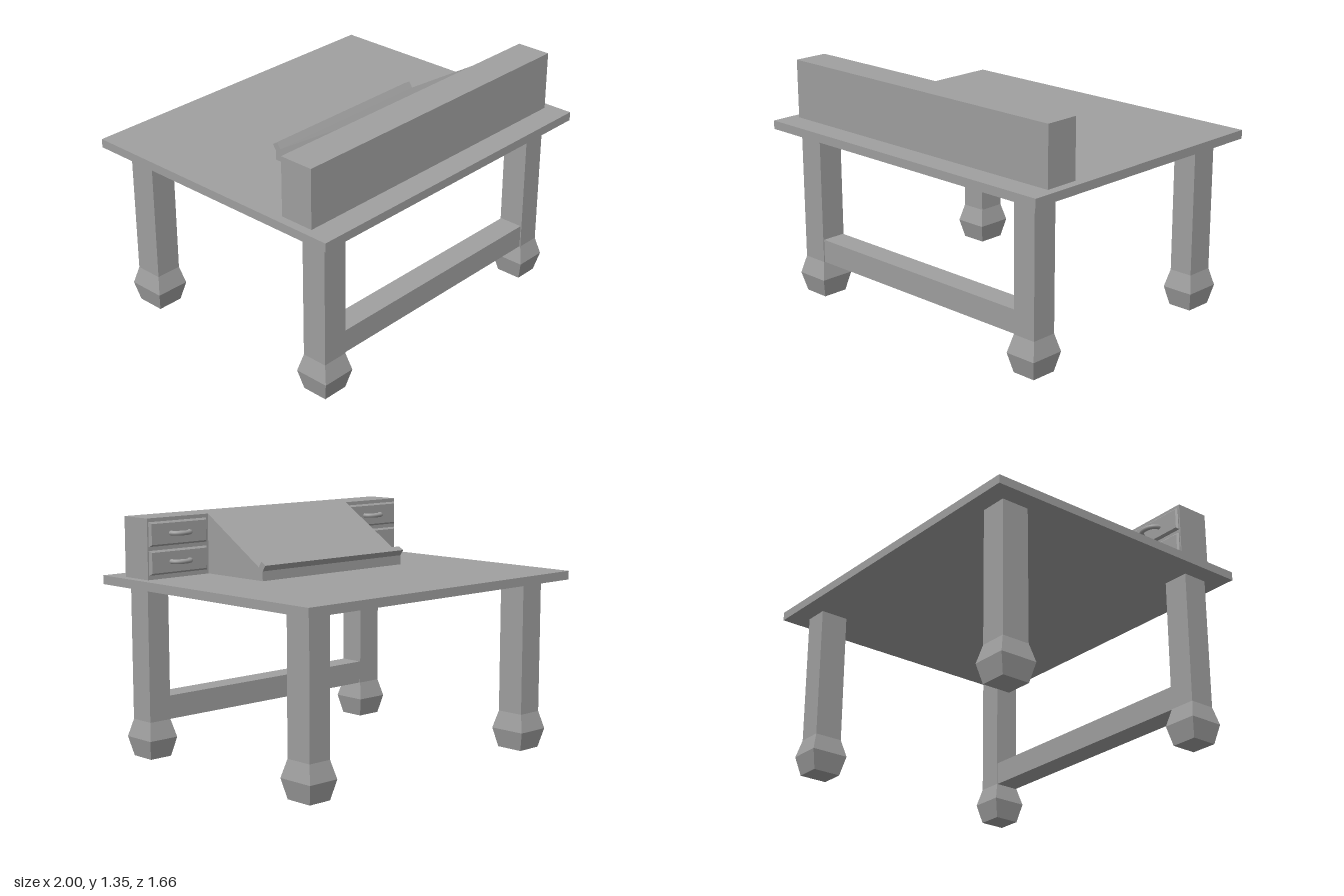
import * as THREE from 'three';

const grey = new THREE.MeshStandardMaterial({ color: 0xa0a0a0 });
grey.name = 'plain grey';

// Stacks rectangular sections [height, width, depth] into a closed, flat-faced solid.
function loft(sections) {
  const pos = [];
  const idx = [];
  for (const [y, w, d] of sections) {
    pos.push(-w / 2, y, d / 2, w / 2, y, d / 2, w / 2, y, -d / 2, -w / 2, y, -d / 2);
  }
  for (let s = 0; s < sections.length - 1; s++) {
    for (let i = 0; i < 4; i++) {
      const a = s * 4 + i, b = s * 4 + (i + 1) % 4;
      idx.push(a, b, b + 4, a, b + 4, a + 4);
    }
  }
  const t = (sections.length - 1) * 4;
  idx.push(0, 2, 1, 0, 3, 2, t, t + 1, t + 2, t, t + 2, t + 3);
  const geo = new THREE.BufferGeometry();
  geo.setAttribute('position', new THREE.Float32BufferAttribute(pos, 3));
  geo.setIndex(idx);
  const flat = geo.toNonIndexed();
  flat.computeVertexNormals();
  return flat;
}

// Extrudes a [z, y] profile along x from x0 to x1.
function prism(points, x0, x1) {
  const shape = new THREE.Shape(points.map(([z, y]) => new THREE.Vector2(-z, y)));
  const geo = new THREE.ExtrudeGeometry(shape, { depth: x1 - x0, bevelEnabled: false });
  geo.rotateY(Math.PI / 2);
  geo.translate(x0, 0, 0);
  return geo;
}

export function createModel() {
  const model = new THREE.Group();
  model.name = 'writingDesk';

  const add = (name, geo, x = 0, y = 0, z = 0) => {
    const mesh = new THREE.Mesh(geo, grey);
    mesh.name = name;
    mesh.position.set(x, y, z);
    model.add(mesh);
    return mesh;
  };
  const box = (name, x0, x1, y0, y1, z0, z1) =>
    add(name, new THREE.BoxGeometry(x1 - x0, y1 - y0, z1 - z0),
      (x0 + x1) / 2, (y0 + y1) / 2, (z0 + z1) / 2);

  // Table top and the low cabinet standing on it
  box('tableTop', -1, 1, 0.968, 1.017, -0.83, 0.83);
  box('cabinet', -0.95, 0.95, 1.017, 1.35, 0.49, 0.69);

  // Square legs with flared feet
  for (const [x, w] of [[-0.815, 0.153], [0.823, 0.14]]) {
    for (const [z, d] of [[0.646, 0.15], [-0.638, 0.163]]) {
      add('leg', loft([
        [0, w, d], [0.11, w + 0.048, d + 0.055], [0.21, w, d], [0.968, w, d],
      ]), x, 0, z);
    }
  }

  // Stretcher between the front legs
  box('stretcher', -0.745, 0.76, 0.21, 0.343, 0.575, 0.715);

  // Sloping writing surface and the ledge along its lower edge
  add('writingSlope', prism(
    [[0.49, 1.017], [0.035, 1.017], [0.035, 1.07], [0.49, 1.35]], -0.533, 0.53));
  add('slopeLedge', prism(
    [[0.067, 1.089], [0.035, 1.07], [0.013, 1.102], [0.045, 1.121]], -0.533, 0.53));

  // Bevelled drawers with arched pulls, two on each side of the slope
  const drawerGeo = loft([[0, 0.394, 0.133], [0.006, 0.394, 0.133], [0.016, 0.374, 0.113]]);
  drawerGeo.rotateX(-Math.PI / 2);
  const arch = [];
  for (let i = 0; i <= 12; i++) {
    const a = Math.PI * i / 12;
    arch.push(new THREE.Vector3(0.063 * Math.cos(a), 0, -0.047 * Math.sin(a)));
  }
  const pullGeo = new THREE.TubeGeometry(new THREE.CatmullRomCurve3(arch), 20, 0.013, 10);
  for (const side of [-1, 1]) {
    for (const y of [1.263, 1.108]) {
      add('drawer', drawerGeo, side * 0.745, y, 0.49);
      add('drawerPull', pullGeo, side * 0.74, y, 0.476);
    }
  }

  return model;
}
